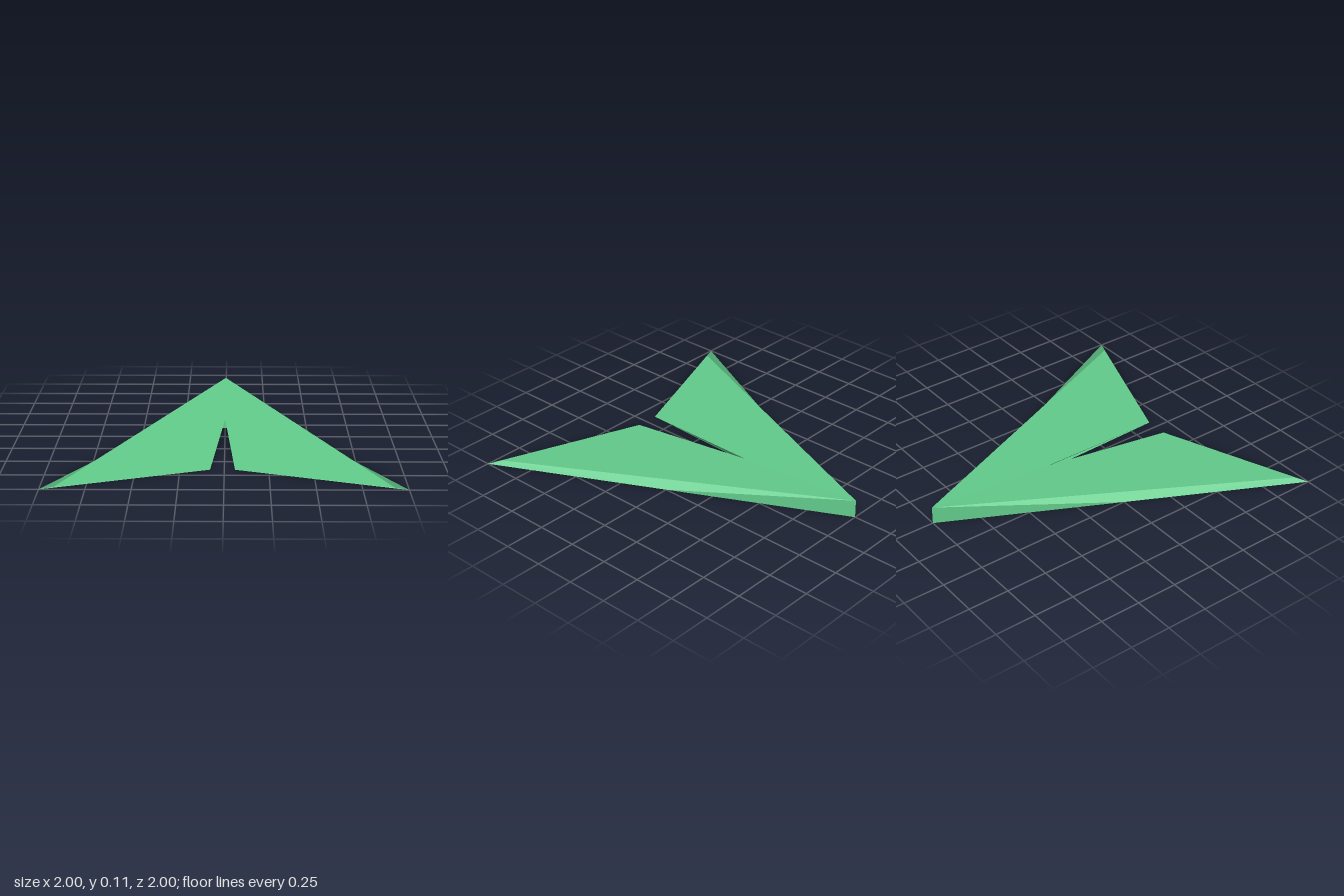
import * as THREE from 'three';

// Flat polygon fan with one averaged normal, turned to face `outward`.
function polygon(points, outward) {
  const p = points.map((c) => new THREE.Vector3(...c));
  const normal = new THREE.Vector3();
  for (let i = 1; i < p.length - 1; i++) {
    const a = p[i].clone().sub(p[0]);
    const b = p[i + 1].clone().sub(p[0]);
    normal.add(a.cross(b));
  }
  const flip = normal.dot(new THREE.Vector3(...outward)) < 0;
  normal.normalize().multiplyScalar(flip ? -1 : 1);
  const index = [];
  for (let i = 1; i < p.length - 1; i++) {
    index.push(0, flip ? i + 1 : i, flip ? i : i + 1);
  }
  const geometry = new THREE.BufferGeometry().setFromPoints(p);
  const normals = p.flatMap(() => normal.toArray());
  geometry.setAttribute('normal', new THREE.Float32BufferAttribute(normals, 3));
  geometry.setIndex(index);
  return geometry;
}

export function createModel() {
  const group = new THREE.Group();
  group.name = 'dartGlider';
  const green = new THREE.MeshStandardMaterial({ color: 0x62cb8b });
  green.name = 'paper green';

  const noseTop = [0, 0.11, -1];
  const noseBase = [0, 0, -1];
  const slotTop = [0, 0.056, -0.18];
  const slotBase = [0, 0, -0.18];
  const slotCorners = [];

  for (const side of [1, -1]) {
    const wing = new THREE.Group();
    wing.name = side > 0 ? 'leftWing' : 'rightWing';
    const add = (name, points, outward) => {
      const mesh = new THREE.Mesh(polygon(points, outward), green);
      mesh.name = name;
      wing.add(mesh);
    };
    // The slot sits slightly off centre
    const slotCorner = [side > 0 ? 0.06 : -0.045, 0, -0.18];
    const slotEnd = [side > 0 ? 0.06 : -0.08, 0, 0.65];
    const mid = [side * 0.5, 0, 0];
    const tip = [side, 0, 1];
    const fold = [side * 0.925, 0.003, 0.968];
    slotCorners.push(slotCorner);

    add('wingTop', [noseTop, slotTop, slotEnd, fold], [0, 1, 0]);
    add('wingUnderside', [noseBase, slotBase, slotCorner, slotEnd, tip], [0, -1, 0]);
    add('noseWall', [noseTop, noseBase, mid], [side, 0, 0]);
    add('edgeBevel', [mid, tip, fold, noseTop], [side, 1, 0]);
    add('trailingEdge', [fold, slotEnd, tip], [0, 0, 1]);
    add('slotWall', [slotTop, slotCorner, slotEnd], [-side, -1, 0]);
    group.add(wing);
  }

  // Closed end of the slot
  const end = new THREE.Mesh(polygon([slotTop, ...slotCorners], [0, 0, 1]), green);
  end.name = 'slotEndWall';
  group.add(end);
  return group;
}
